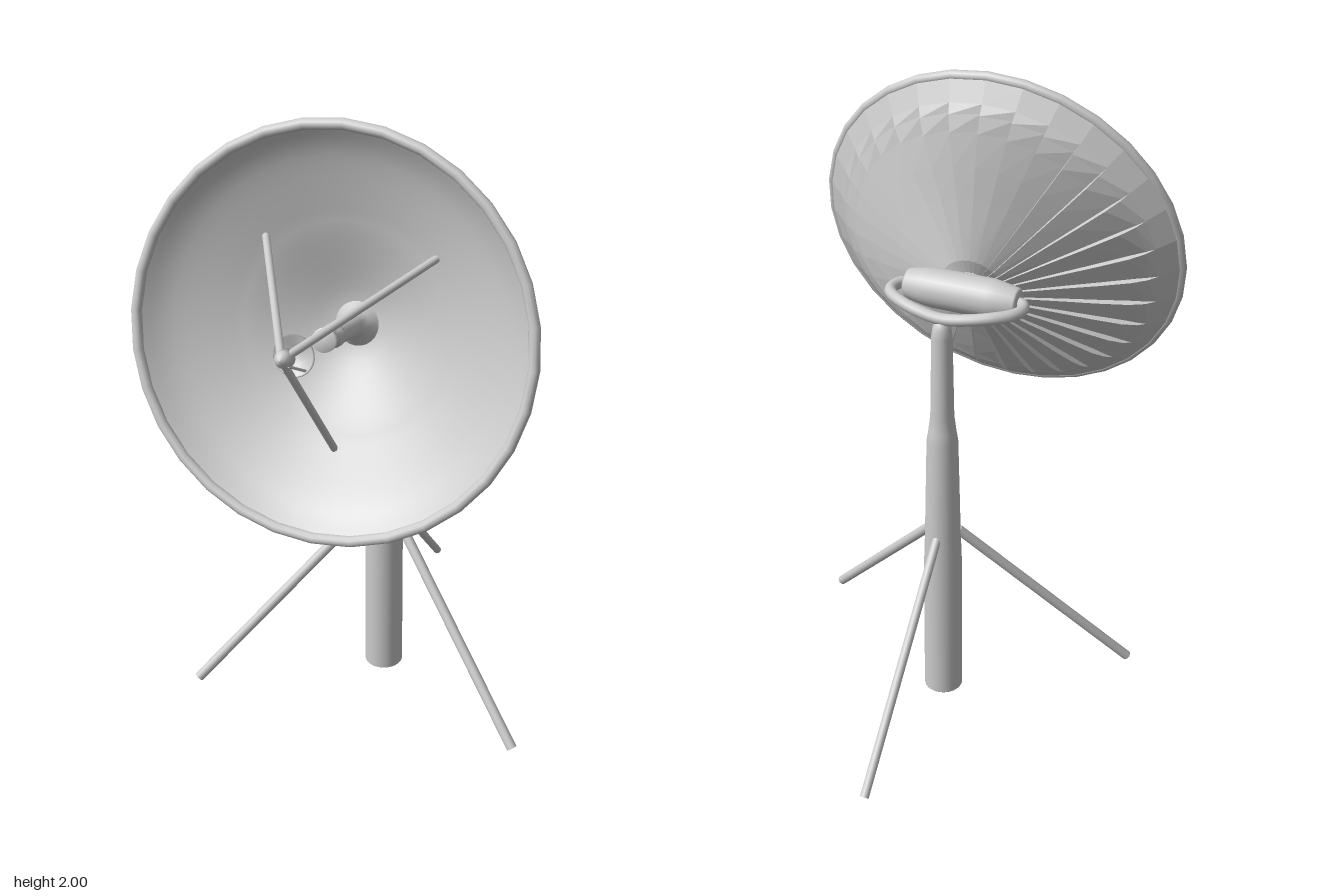
import * as THREE from 'three';

const grey = new THREE.MeshStandardMaterial({ color: 0xcccccc });
const thin = new THREE.MeshStandardMaterial({ color: 0xcccccc, side: THREE.DoubleSide });
const facet = new THREE.MeshStandardMaterial({ color: 0xcccccc, side: THREE.DoubleSide, flatShading: true });
const V = (x, y, z) => new THREE.Vector3(x, y, z);

function add(parent, name, geometry, material = grey) {
  const mesh = new THREE.Mesh(geometry, material);
  mesh.name = name;
  parent.add(mesh);
  return mesh;
}

// Round bar between two points
function rod(parent, name, a, b, radius) {
  const mesh = add(parent, name, new THREE.CylinderGeometry(radius, radius, a.distanceTo(b), 12));
  mesh.position.copy(a).lerp(b, 0.5);
  mesh.quaternion.setFromUnitVectors(V(0, 1, 0), b.clone().sub(a).normalize());
  return mesh;
}

// Turned part from [radius, height] pairs
function turned(profile, segments = 24) {
  return new THREE.LatheGeometry(profile.map(([r, y]) => new THREE.Vector2(r, y)), segments);
}

// Overlapping back panels: each sector is lifted along one edge and flush along the other
function panelGeometry(count) {
  // radius, depth, lift of the raised edge
  const rows = [[0.05, -0.268, 0.003], [0.1, -0.26, 0.006], [0.27, -0.182, 0.014], [0.36, -0.142, 0.018],
    [0.45, -0.101, 0.02], [0.495, -0.082, 0.012], [0.52, -0.07, 0], [0.574, -0.025, 0]];
  const out = [];
  const point = ([r, z, lift], angle, raised) => [r * Math.cos(angle), r * Math.sin(angle), z - (raised ? lift : 0)];
  const quad = (a, b, c, d) => out.push(...a, ...b, ...c, ...a, ...c, ...d);
  for (let i = 0; i < count; i++) {
    const a0 = (i / count) * Math.PI * 2, a1 = ((i + 1) / count) * Math.PI * 2;
    for (let j = 0; j < rows.length - 1; j++) {
      const p = rows[j], q = rows[j + 1];
      quad(point(p, a0, true), point(p, a1, false), point(q, a1, false), point(q, a0, true));
      if (p[2] + q[2] > 0) quad(point(p, a0, false), point(p, a0, true), point(q, a0, true), point(q, a0, false));
    }
  }
  const geometry = new THREE.BufferGeometry();
  geometry.setAttribute('position', new THREE.Float32BufferAttribute(out, 3));
  geometry.computeVertexNormals();
  return geometry;
}

function createDish() {
  const dish = new THREE.Group();
  dish.name = 'dish';

  // Smooth concave reflector
  const curve = new THREE.SplineCurve([[0, -0.262], [0.1, -0.246], [0.27, -0.168], [0.34, -0.138], [0.49, -0.066], [0.565, -0.008]]
    .map(([r, z]) => new THREE.Vector2(r, z)));
  const bowl = new THREE.LatheGeometry(curve.getPoints(24).reverse(), 60).rotateX(Math.PI / 2);
  add(dish, 'reflector', bowl, thin);
  add(dish, 'backPanels', panelGeometry(32), facet);
  add(dish, 'rim', new THREE.TorusGeometry(0.573, 0.016, 10, 32)).position.z = -0.012;
  add(dish, 'hub', new THREE.CylinderGeometry(0.06, 0.06, 0.03, 24).rotateX(Math.PI / 2)).position.z = -0.275;

  // Feed horn with a flared foot and waisted tip
  add(dish, 'feedHorn', turned([[0.07, -0.26], [0.045, -0.235], [0.032, -0.21], [0.03, -0.085], [0.024, -0.08],
    [0.024, -0.07], [0.034, -0.066], [0.034, -0.05], [0.026, -0.04], [0.026, -0.015], [0.034, 0.0], [0.034, 0.018], [0, 0.018]])
    .rotateX(Math.PI / 2));

  // Tripod struts meeting at a small tip
  const apex = V(0, 0.005, 0.318);
  for (const [x, y] of [[0.25, 0.235], [-0.25, 0.235], [0, -0.345]]) {
    rod(dish, 'feedStrut', apex, V(x, y, -0.142), 0.011);
  }
  add(dish, 'strutTip', turned([[0, -0.03], [0.026, -0.03], [0.022, -0.005], [0.012, 0.01], [0, 0.014]], 16)
    .rotateX(Math.PI / 2)).position.copy(apex);

  // Secondary reflector bulging toward the dish, hung on short stays
  add(dish, 'subReflector', turned([[0, 0.205], [0.025, 0.209], [0.045, 0.219], [0.057, 0.232], [0.053, 0.236],
    [0.025, 0.217], [0, 0.213]]).rotateX(Math.PI / 2), thin);
  for (let i = 0; i < 4; i++) {
    const a = Math.PI / 4 + i * Math.PI / 2, c = Math.cos(a), s = Math.sin(a);
    rod(dish, 'reflectorStay', V(c * 0.05, s * 0.05, 0.23), V(c * 0.018, s * 0.018, 0.3), 0.004);
  }

  dish.position.set(0, 1.43, 0.4);
  dish.rotation.x = -0.248;
  return dish;
}

export function createModel() {
  const model = new THREE.Group();
  model.name = 'dishAntenna';

  // Tapered mast with a rounded top
  add(model, 'mast', turned([[0, 0], [0.0625, 0], [0.0625, 0.001], [0.061, 0.48], [0.056, 0.62], [0.048, 0.96],
    [0.042, 1.0], [0.036, 1.05], [0.031, 1.32], [0.027, 1.35], [0.016, 1.37], [0, 1.378]], 32)).position.z = -0.093;

  // Three ground braces
  for (const s of [-1, 1]) rod(model, 'frontLeg', V(s * 0.04, 0.62, -0.065), V(s * 0.537, 0.02, 0.237), 0.016);
  rod(model, 'backLeg', V(0, 0.625, -0.135), V(0, 0.045, -0.71), 0.014);

  // Horizontal pivot drum behind the dish
  const drum = add(model, 'pivotDrum', turned([[0, -0.178], [0.04, -0.178], [0.046, -0.172], [0.056, -0.12], [0.06, -0.09],
    [0.06, 0.09], [0.056, 0.12], [0.046, 0.172], [0.04, 0.178], [0, 0.178]]).rotateZ(Math.PI / 2));
  drum.position.set(0, 1.385, 0.062);

  // Curved yoke joining drum ends to the mast
  const half = [[0.165, 1.385, 0.066], [0.19, 1.386, 0.058], [0.204, 1.389, 0.02], [0.192, 1.393, -0.025],
    [0.15, 1.393, -0.062], [0.08, 1.385, -0.088]];
  const path = [...half.map(([x, y, z]) => V(x, y, z)), V(0, 1.376, -0.095),
    ...half.slice().reverse().map(([x, y, z]) => V(-x, y, z))];
  add(model, 'yoke', new THREE.TubeGeometry(new THREE.CatmullRomCurve3(path), 64, 0.018, 12));

  model.add(createDish());
  return model;
}
